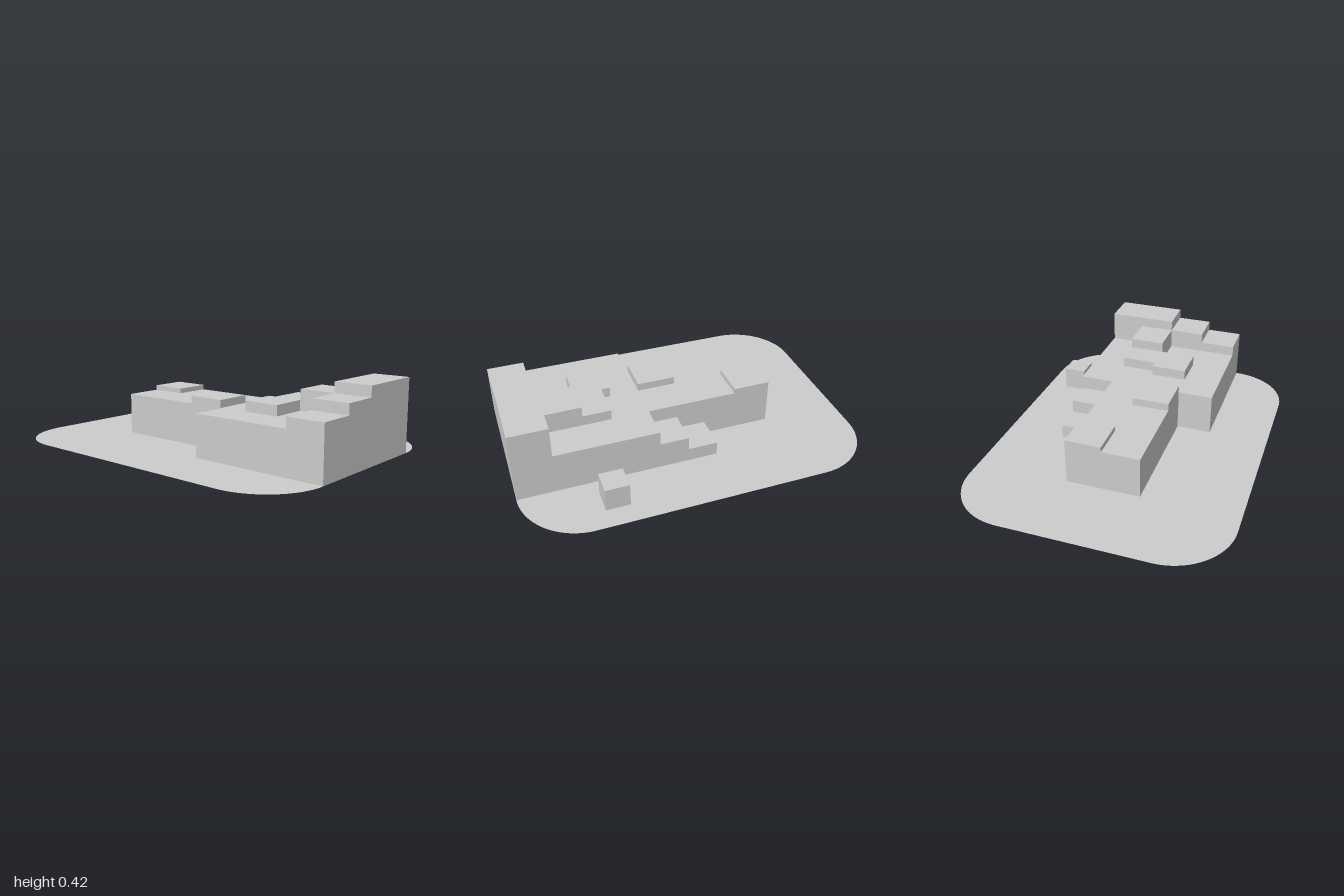
import * as THREE from 'three';

const grey = new THREE.MeshStandardMaterial({ color: 0xcccccc, side: THREE.DoubleSide });
grey.name = 'light grey';

const ROOF = 0.243;

function add(group, name, geometry) {
  const mesh = new THREE.Mesh(geometry, grey);
  mesh.name = name;
  group.add(mesh);
}

// Box given by its limits on each axis
function block(group, name, x0, x1, y0, y1, z0, z1) {
  const geo = new THREE.BoxGeometry(x1 - x0, y1 - y0, z1 - z0);
  geo.translate((x0 + x1) / 2, (y0 + y1) / 2, (z0 + z1) / 2);
  add(group, name, geo);
}

// Upright prism over an outline of [x, z] points
function prism(group, name, outline, y0, y1) {
  const shape = new THREE.Shape(outline.map(([x, z]) => new THREE.Vector2(x, -z)));
  const geo = new THREE.ExtrudeGeometry(shape, { depth: y1 - y0, bevelEnabled: false });
  geo.rotateX(-Math.PI / 2);
  geo.translate(0, y0, 0);
  add(group, name, geo);
}

// Flat ground sheet with rounded corners
function ground(group, w, d, r) {
  const s = new THREE.Shape();
  s.absarc(w - r, d - r, r, 0, Math.PI / 2);
  s.absarc(r - w, d - r, r, Math.PI / 2, Math.PI);
  s.absarc(r - w, r - d, r, Math.PI, Math.PI * 1.5);
  s.absarc(w - r, r - d, r, Math.PI * 1.5, Math.PI * 2);
  s.closePath();
  const geo = new THREE.ShapeGeometry(s, 24);
  geo.rotateX(-Math.PI / 2);
  add(group, 'groundPlate', geo);
}

export function createModel() {
  const model = new THREE.Group();
  model.name = 'steppedBuilding';

  ground(model, 1, 0.768, 0.35);

  // T-shaped main storey
  prism(model, 'mainStorey', [
    [-0.54, 0.21], [0.197, 0.21], [0.197, 0.415], [1, 0.415],
    [1, -0.42], [0.197, -0.42], [0.197, -0.22], [-0.54, -0.22],
  ], 0, ROOF);

  // Terraces stepping up towards the back along the left wall
  [[0.303, 0.2, 0.415], [0.363, -0.01, 0.2], [0.424, -0.42, -0.01]].forEach(([top, z0, z1]) =>
    block(model, 'sideTerrace', 0.785, 1, ROOF, top, z0, z1));

  // Rooftop volumes
  block(model, 'upperRoofBlock', 0.573, 0.785, ROOF, 0.363, -0.22, -0.01);
  prism(model, 'lowerRoofBlock', [
    [0.363, 0.2], [0.573, 0.2], [0.573, -0.22], [0.412, -0.22], [0.412, -0.01], [0.363, -0.01],
  ], ROOF, 0.303);
  block(model, 'frontRoofBlock', -0.027, 0.194, ROOF, 0.288, -0.01, 0.21);
  block(model, 'cornerRoofBlock', -0.54, -0.325, ROOF, 0.272, -0.22, -0.01);

  // Two large steps against the back wall
  block(model, 'lowerStep', -0.14, 0.03, 0, 0.08, -0.42, -0.22);
  block(model, 'upperStep', 0.03, 0.197, 0, 0.16, -0.42, -0.22);

  // Free-standing cube behind the building
  block(model, 'outbuilding', 0.438, 0.573, 0, 0.137, -0.648, -0.513);

  return model;
}
